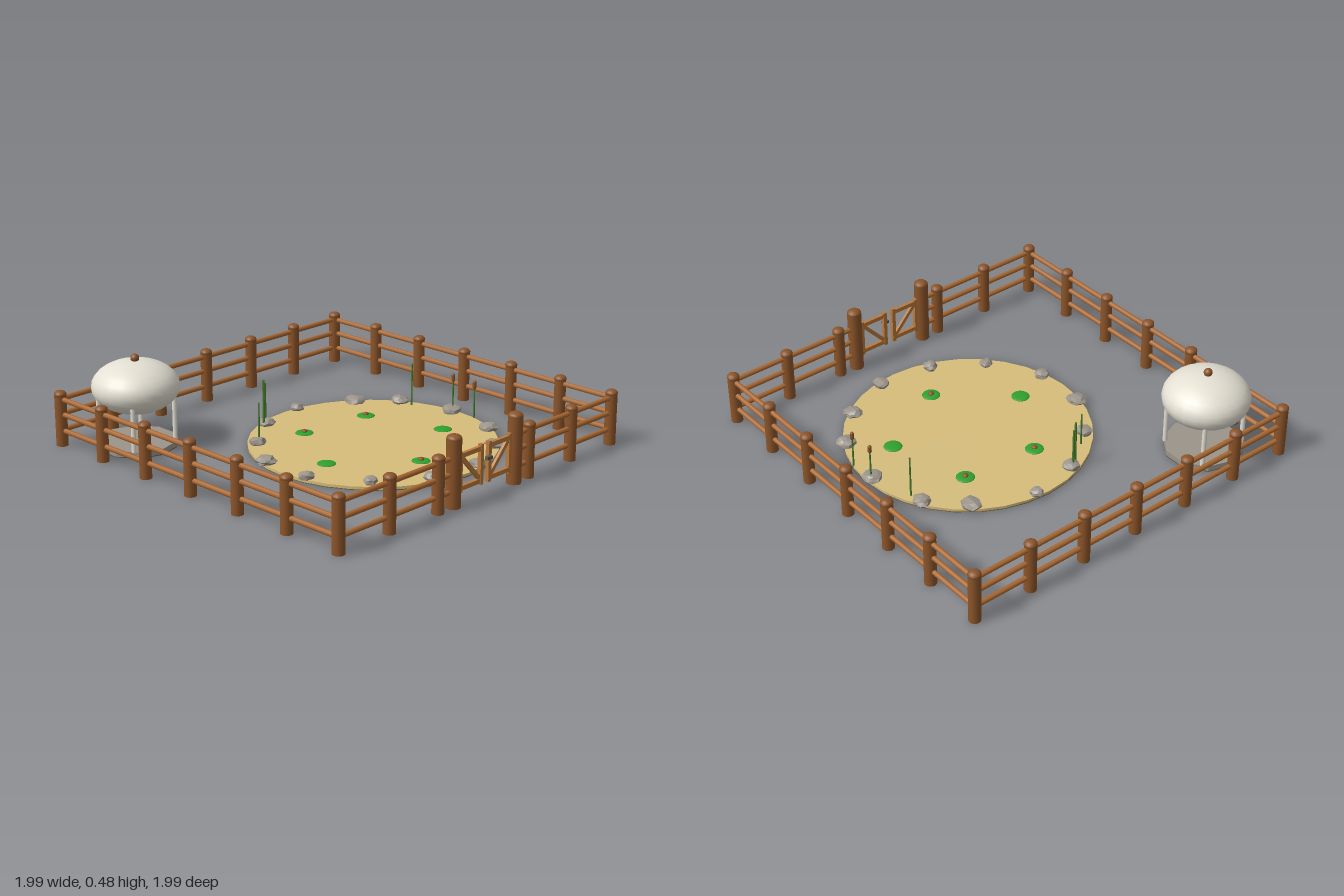
import * as THREE from 'three';

const mat = (name, color, extra = {}) => {
  const m = new THREE.MeshStandardMaterial({ color, ...extra });
  m.name = name;
  return m;
};

export function createModel() {
  const root = new THREE.Group();
  root.name = 'paddock';
  const postWood = mat('post wood', 0x8b5429);
  const railWood = mat('rail wood', 0xab6932);
  const gateWood = mat('gate wood', 0xbb7a3c);
  const cream = mat('cream', 0xe4e0d3);
  const stone = mat('stone grey', 0x9c948a, { flatShading: true });
  const sand = mat('sand', 0xd6bd7b);
  const mud = mat('mud', 0x756244);
  const leaf = mat('pad green', 0x2fa02f);
  const reedGreen = mat('reed green', 0x4a7f30);
  const darkGrey = mat('dark grey', 0x5a5654);

  const add = (parent, name, geo, material, x = 0, y = 0, z = 0) => {
    const m = new THREE.Mesh(geo, material);
    m.name = name;
    m.position.set(x, y, z);
    parent.add(m);
    return m;
  };
  const group = (name) => {
    const g = new THREE.Group();
    g.name = name;
    root.add(g);
    return g;
  };
  // Round bar between two points
  const bar = (parent, name, a, b, r, material) => {
    const p = new THREE.Vector3(...a), q = new THREE.Vector3(...b);
    const d = q.clone().sub(p);
    const m = add(parent, name, new THREE.CylinderGeometry(r, r, d.length(), 10), material);
    m.position.copy(p).add(q).multiplyScalar(0.5);
    m.quaternion.setFromUnitVectors(new THREE.Vector3(0, 1, 0), d.normalize());
  };

  // Fence posts with rounded caps
  const E = 0.963, Z0 = -0.968, Z1 = 0.958, step = E / 3;
  const fence = group('fence');
  const post = (name, x, z, r, h, shaft = 0.94) => {
    add(fence, name, new THREE.CylinderGeometry(r * shaft, r * shaft, h - 0.02, 14), postWood, x, (h - 0.02) / 2, z);
    add(fence, name + 'Cap', new THREE.SphereGeometry(r, 14, 8), postWood, x, h - 0.02, z).scale.y = 0.02 / r;
  };
  for (let i = -3; i <= 3; i++) {
    post('backPost', i * step, Z0, 0.032, 0.287);
    if (i !== 0) post('frontPost', i * step, Z1, 0.032, 0.287);
    if (Math.abs(i) < 3)
      for (const s of [-1, 1]) post('sidePost', s * E, -0.005 + i * step, 0.032, 0.287);
  }
  // Rails
  const G = 0.217;
  for (const y of [0.08, 0.165, 0.243]) {
    bar(fence, 'backRail', [-E, y, Z0], [E, y, Z0], 0.013, railWood);
    for (const s of [-1, 1]) {
      bar(fence, 'sideRail', [s * E, y, Z0], [s * E, y, Z1], 0.013, railWood);
      bar(fence, 'frontRail', [s * E, y, Z1], [s * G, y, Z1], 0.013, railWood);
    }
  }

  // Double gate
  const gate = group('gate');
  for (const s of [-1, 1]) {
    post('gatePost', s * G, Z1, 0.037, 0.357, 1);
    for (const x of [0.028, 0.175])
      add(gate, 'gateStile', new THREE.BoxGeometry(0.02, 0.2, 0.02), gateWood, s * x, 0.16, Z1);
    for (const y of [0.08, 0.24])
      add(gate, 'gateRail', new THREE.BoxGeometry(0.17, 0.022, 0.017), gateWood, s * 0.102, y, Z1);
    const brace = add(gate, 'gateBrace', new THREE.BoxGeometry(0.215, 0.02, 0.014), gateWood, s * 0.1, 0.16, Z1);
    brace.rotation.z = s * 0.83;
  }
  add(gate, 'latch', new THREE.BoxGeometry(0.035, 0.016, 0.018), darkGrey, 0.012, 0.185, 0.973);

  // Raised tank on a slab
  const tank = group('tank');
  tank.position.set(-0.7, 0, -0.702);
  add(tank, 'slab', new THREE.CylinderGeometry(0.2, 0.2, 0.028, 10), stone, 0, 0.018, 0);
  add(tank, 'slabUnderside', new THREE.CylinderGeometry(0.2, 0.2, 0.004, 10), darkGrey, 0, 0.002, 0);
  for (const x of [-1, 1]) for (const z of [-1, 1])
    add(tank, 'tankLeg', new THREE.CylinderGeometry(0.012, 0.012, 0.23, 10), cream, x * 0.133, 0.145, z * 0.133);
  add(tank, 'tankBody', new THREE.SphereGeometry(0.22, 24, 16), cream, 0, 0.311, 0).scale.y = 0.6;
  add(tank, 'tankKnob', new THREE.SphereGeometry(0.022, 14, 10), postWood, 0, 0.454, 0);

  // Sandy pond bed over mud
  const pond = group('pond');
  add(pond, 'pondBed', new THREE.CylinderGeometry(0.628, 0.628, 0.014, 32), sand, 0.13, 0.011, 0.127);
  add(pond, 'pondUnderside', new THREE.CylinderGeometry(0.628, 0.628, 0.004, 32), mud, 0.13, 0.002, 0.127);

  // Pads, some with a bud: x, z, bud
  for (const [x, z, bud] of [[-0.03, -0.2, 1], [0.375, -0.16, 1], [-0.26, 0.185, 0], [0.5, 0.26, 0], [0.088, 0.485, 1]]) {
    add(pond, 'lilyPad', new THREE.SphereGeometry(0.047, 20, 10), leaf, x, 0.018, z).scale.y = 0.17;
    if (bud) add(pond, 'bud', new THREE.SphereGeometry(0.016, 10, 8), postWood, x, 0.028, z).scale.y = 0.6;
  }

  // Rocks around the edge: x, z, radius
  const rocks = [
    [-0.075, -0.425, 0.045], [0.19, -0.48, 0.036], [0.49, -0.35, 0.053], [0.655, -0.18, 0.05],
    [0.73, 0.115, 0.052], [0.665, 0.425, 0.05], [0.495, 0.605, 0.05], [0.235, 0.72, 0.043],
    [-0.058, 0.68, 0.039], [-0.3, 0.515, 0.035], [-0.462, 0.253, 0.038], [-0.457, -0.03, 0.053],
    [-0.305, -0.253, 0.042],
  ];
  rocks.forEach(([x, z, r], i) => {
    const geo = new THREE.IcosahedronGeometry(1, 1);
    const p = geo.attributes.position, v = new THREE.Vector3();
    for (let k = 0; k < p.count; k++) {
      v.fromBufferAttribute(p, k);
      const n = Math.sin(v.x * 12.3 + v.y * 7.7 + v.z * 9.1 + i * 2.4);
      v.multiplyScalar(0.97 + 0.13 * n);
      p.setXYZ(k, v.x, v.y, v.z);
    }
    geo.computeVertexNormals();
    const m = add(pond, 'rock', geo, stone, x, 0.03, z);
    m.scale.set(r, 0.025, r);
    m.rotation.y = i * 1.3;
  });

  // Reeds and cattails: x, z, height, radius, brown head
  for (const [x, z, h, r, head] of [
    [-0.108, -0.415, 0.265, 0.007, 0], [-0.082, -0.432, 0.24, 0.007, 0], [-0.235, -0.315, 0.2, 0.005, 0],
    [0.665, -0.105, 0.245, 0.005, 0], [0.74, 0.115, 0.2, 0.005, 1], [0.74, 0.26, 0.195, 0.005, 1],
  ]) {
    add(pond, 'reed', new THREE.CylinderGeometry(r * 0.8, r, h, 8), reedGreen, x, h / 2, z);
    if (head) add(pond, 'cattailHead', new THREE.CapsuleGeometry(0.01, 0.026, 4, 10), postWood, x, h + 0.003, z);
  }
  return root;
}
